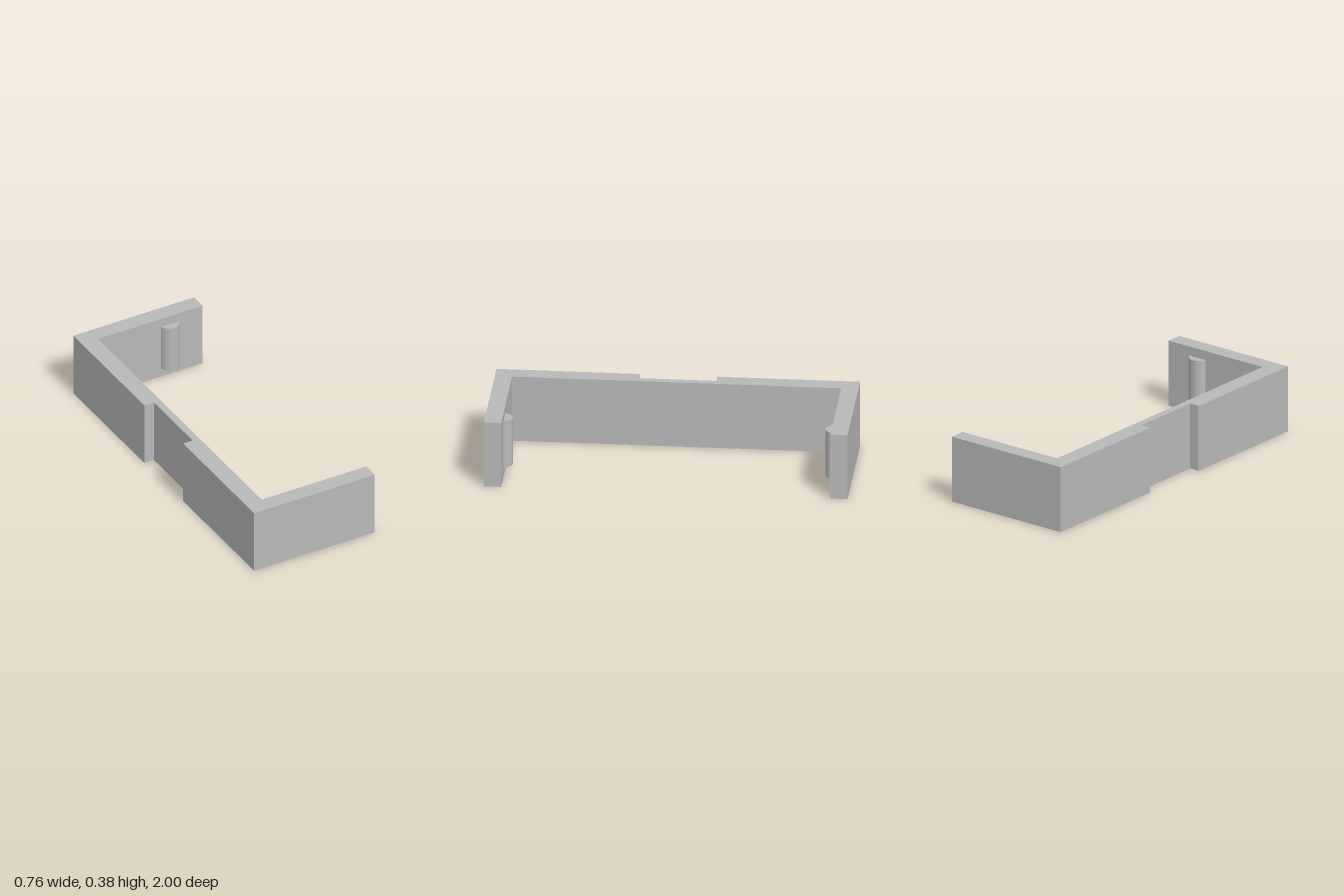
import * as THREE from 'three';

const HEIGHT = 0.38;

export function createModel() {
  const model = new THREE.Group();
  model.name = 'clipBracket';
  const grey = new THREE.MeshStandardMaterial({ color: 0xb8b8b8 });
  grey.name = 'grey';

  // C-shaped frame with a shallow notch in the outside of its spine
  const outline = [
    [-0.38, -1], [0.38, -1], [0.38, -0.905], [-0.278, -0.905],
    [-0.278, 0.905], [0.38, 0.905], [0.38, 1], [-0.38, 1],
    [-0.38, 0.215], [-0.32, 0.215], [-0.32, -0.215], [-0.38, -0.215],
  ];
  const shape = new THREE.Shape(outline.map(([x, z]) => new THREE.Vector2(x, z)));
  const frameGeometry = new THREE.ExtrudeGeometry(shape, { depth: HEIGHT, bevelEnabled: false });
  frameGeometry.rotateX(-Math.PI / 2);
  const frame = new THREE.Mesh(frameGeometry, grey);
  frame.name = 'frame';
  model.add(frame);

  // Half-round ridges on the inner faces of both arms
  const ridgeGeometry = new THREE.CylinderGeometry(
    0.0564, 0.0564, 0.275, 32, 1, false, Math.PI / 2, Math.PI);
  for (const side of [1, -1]) {
    const ridge = new THREE.Mesh(ridgeGeometry, grey);
    ridge.name = side > 0 ? 'frontRidge' : 'backRidge';
    ridge.position.set(0.175, HEIGHT / 2, side * 0.916);
    ridge.rotation.y = side > 0 ? 0 : Math.PI;
    model.add(ridge);
  }
  return model;
}
